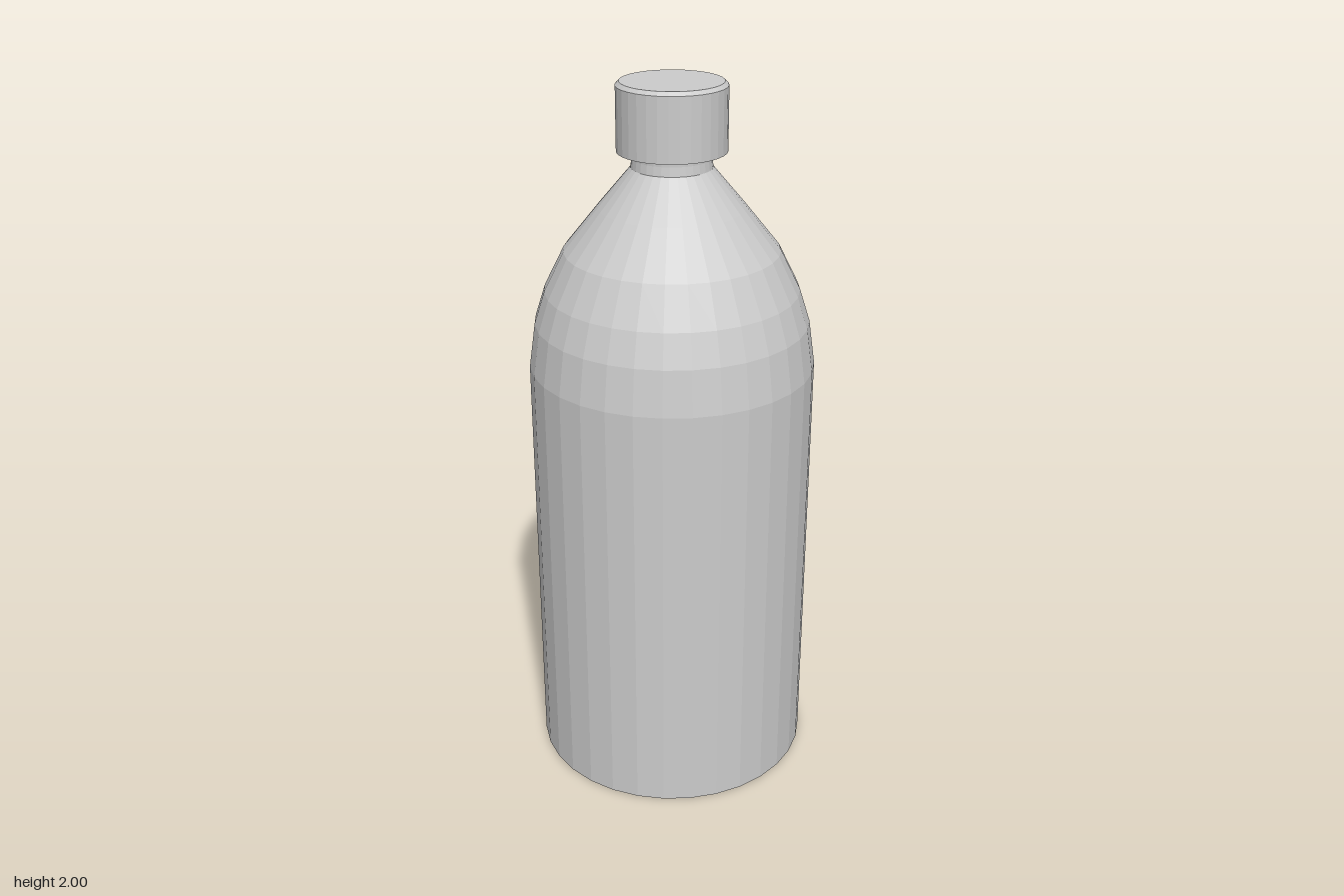
import * as THREE from 'three';

const SIDES = 32;

// Faceted solid of revolution from [radius, height] pairs, listed bottom to top
function turned(name, profile, material) {
  const points = profile.map(([r, y]) => new THREE.Vector2(r, y));
  const mesh = new THREE.Mesh(new THREE.LatheGeometry(points, SIDES), material);
  mesh.name = name;
  return mesh;
}

export function createModel() {
  const grey = new THREE.MeshStandardMaterial({ color: 0xcccccc, flatShading: true });
  const bottle = new THREE.Group();
  bottle.name = 'bottle';

  // Closed base, straight wall and shoulder curving in to the neck
  bottle.add(turned('body', [
    [0, 0], [0.397, 0], [0.397, 1.225], [0.379, 1.35], [0.35, 1.44],
    [0.295, 1.55], [0.2, 1.668], [0.11, 1.775],
  ], grey));

  // Short neck, running up into the cap
  bottle.add(turned('neck', [[0.11, 1.775], [0.107, 1.8], [0.107, 1.83]], grey));

  // Screw cap with a flat underside and a small chamfer on top
  bottle.add(turned('cap', [
    [0.1, 1.818], [0.148, 1.818], [0.148, 1.99], [0.138, 2], [0, 2],
  ], grey));

  return bottle;
}
